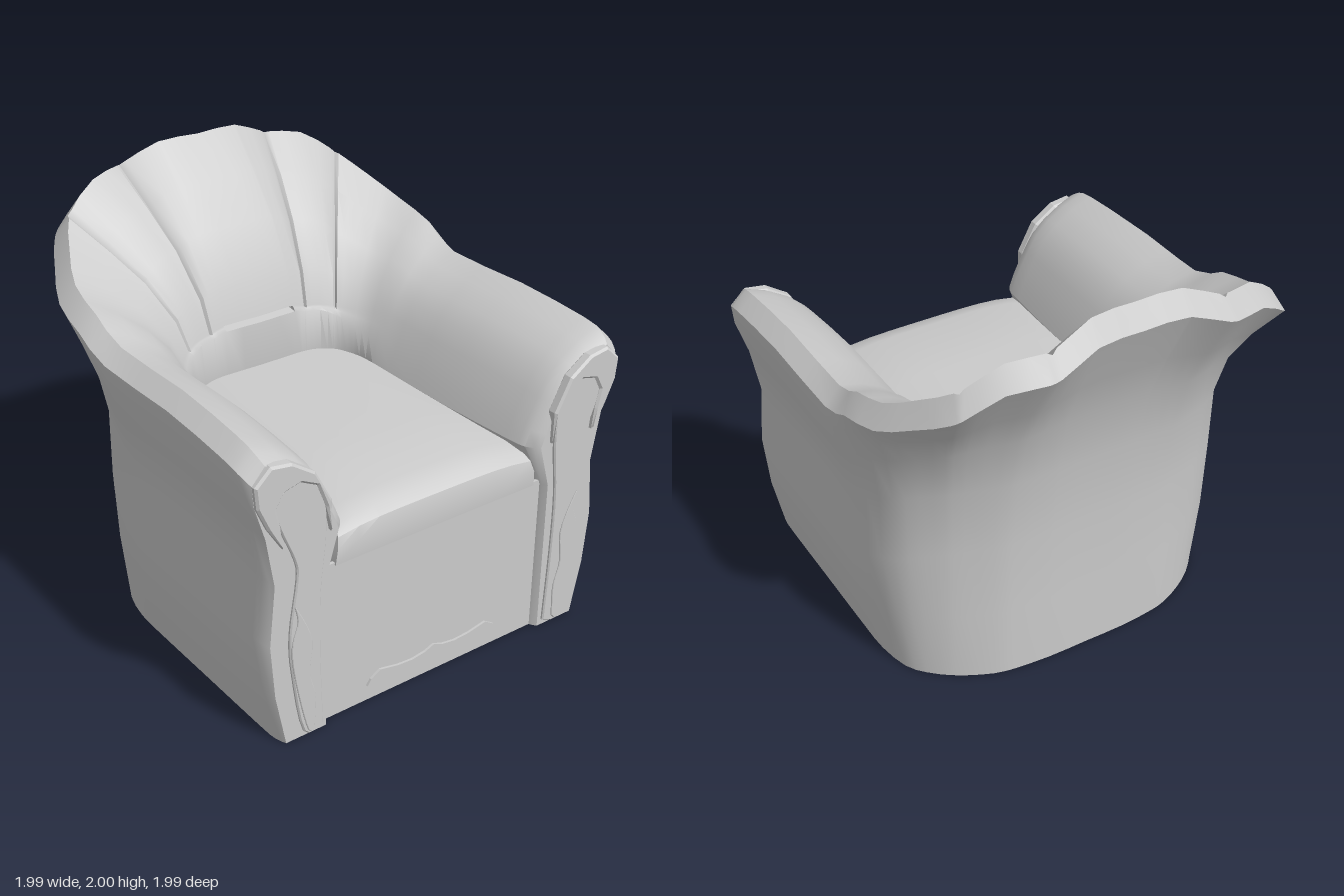
import * as THREE from 'three';
import { toCreasedNormals } from 'three/addons/utils/BufferGeometryUtils.js';

const grey = new THREE.MeshStandardMaterial({ color: 0xcccccc, side: THREE.DoubleSide });
const lerp = THREE.MathUtils.lerp;

// Stations from the front of the left arm to the middle of the back:
// base x, z | rim x, z | ridge height | seat edge x, z | 0 arm .. 1 back
const half = [
  [0.815, 0.965, 0.965, 0.965, 1.37, 0.55, 0.965, 0],
  [0.835, 0.91, 0.99, 0.91, 1.41, 0.505, 0.91, 0],
  [0.84, 0.80, 0.995, 0.80, 1.435, 0.49, 0.80, 0],
  [0.84, 0.40, 0.99, 0.40, 1.46, 0.47, 0.40, 0],
  [0.84, 0.00, 0.99, -0.10, 1.455, 0.47, 0.00, 0],
  [0.835, -0.18, 0.995, -0.30, 1.54, 0.47, -0.13, 0.25],
  [0.80, -0.34, 0.97, -0.52, 1.60, 0.46, -0.22, 0.6],
  [0.735, -0.43, 0.89, -0.70, 1.69, 0.43, -0.28, 0.8],
  [0.645, -0.505, 0.785, -0.87, 1.79, 0.39, -0.325, 0.92],
  [0.53, -0.57, 0.61, -0.94, 1.90, 0.33, -0.355, 1],
  [0.41, -0.61, 0.42, -0.995, 1.925, 0.26, -0.37, 1],
  [0.20, -0.63, 0.21, -0.97, 2.00, 0.19, -0.37, 1],
  [0.00, -0.63, 0.00, -0.96, 2.00, 0.00, -0.365, 1],
];
const mid = half.length - 1;
const mirrored = half.slice(0, mid).reverse().map((s) => s.map((v, k) => (k === 0 || k === 2 || k === 5 ? -v : v)));
const stations = [...half, ...mirrored];
const seams = [8, 10, 2 * mid - 10, 2 * mid - 8];

// Profiles for the arm and for the back; fractions, except backHeight
const outer = {
  armSide: [0, 0.35, 0.5, 0.33, 0.6, 0.95, 1], armUp: [0, 0.2, 0.4, 0.62, 0.8, 0.93, 1],
  backSide: [0, 0.02, 0.03, 0.14, 0.33, 0.61, 1], backHeight: [0, 0.37, 0.75, 1.12, 1.41, 1.63, 1.9],
};
const inner = {
  armIn: [0, 0.25, 0.48, 0.65, 0.77, 0.85, 0.93, 1], armDown: [0, 0.09, 0.22, 0.37, 0.55, 0.69, 0.84, 1],
  backIn: [0, 0.31, 0.61, 0.85, 0.94, 0.945, 0.965, 1], backDown: [0, 0.17, 0.35, 0.57, 0.735, 0.745, 0.76, 1],
};

// Smooth station values at any position along the U
function stationAt(t) {
  const last = stations.length - 1;
  const i = Math.min(Math.floor(t), last - 1), f = t - i;
  const at = (k) => stations[THREE.MathUtils.clamp(k, 0, last)];
  return stations[0].map((_, k) => {
    const [a, b, c, d] = [at(i - 1)[k], at(i)[k], at(i + 1)[k], at(i + 2)[k]];
    return b + 0.5 * f * (c - a + f * (2 * a - 5 * b + 4 * c - d + f * (3 * (b - c) + d - a)));
  });
}

// Closed cross-section: up the outside, over the rim, down to the seat, back under
function section(t) {
  const [bx, bz, rx, rz, ridge, sx, sz, blend] = stationAt(t);
  const w = THREE.MathUtils.clamp(blend, 0, 1);
  const groove = seams.includes(t) ? 1 : 0;
  const slit = Math.abs(t - mid) <= 1 ? 1 : 0;
  const rim = ridge - lerp(0.07, 0.1, w);
  const pts = outer.armSide.map((a, k) => {
    const s = lerp(a, outer.backSide[k], w), h = outer.backHeight[k];
    const backY = h * (1 - (1 - rim / 1.9) * (h / 1.9) ** 3);
    return [lerp(bx, rx, s), lerp(rim * outer.armUp[k], backY, w), lerp(bz, rz, s)];
  });
  const tuck = lerp(0.15, 0.11, w);
  inner.armIn.forEach((a, k) => {
    const u = lerp(a, inner.backIn[k], w);
    let s = tuck + (1 - tuck) * u;
    if (k < 5) s -= groove * 0.02;
    if (k === 5) s -= slit * 0.12;
    const y = lerp(ridge, 0.965, lerp(inner.armDown[k], inner.backDown[k], w)) - (k < 5 ? groove * 0.01 : 0);
    pts.push([lerp(rx, sx, s), y, lerp(rz, sz, s)]);
  });
  for (const y of [0.76, 0]) pts.push([lerp(sx, bx, 0.22), y, lerp(sz, bz, 0.22)]);
  return pts;
}

function shellGeometry() {
  const ts = [];
  for (let k = 0; k <= 4 * mid; k++) ts.push(k / 2);
  seams.forEach((s) => ts.push(s - 0.12, s + 0.12));
  ts.push(mid - 1.06, mid + 1.06);
  ts.sort((a, b) => a - b);
  const rings = ts.map(section), n = rings[0].length, index = [];
  for (let i = 0; i < rings.length - 1; i++) {
    for (let j = 0; j < n; j++) {
      const a = i * n + j, b = i * n + ((j + 1) % n);
      index.push(a, a + n, b, b, a + n, b + n);
    }
  }
  const g = new THREE.BufferGeometry();
  g.setAttribute('position', new THREE.Float32BufferAttribute(rings.flat(2), 3));
  g.setIndex(index);
  return toCreasedNormals(g, 0.6);
}

const shapeOf = (pts) => new THREE.Shape(pts.map(([x, y]) => new THREE.Vector2(x, y)));
const smoothShape = (pts, n = 40) => new THREE.Shape(
  new THREE.SplineCurve([...pts, pts[0]].map(([x, y]) => new THREE.Vector2(x, y))).getPoints(n));

function slab(shape, z, depth, bevel = 0) {
  const g = new THREE.ExtrudeGeometry(shape, {
    depth, bevelEnabled: bevel > 0, bevelSize: bevel, bevelThickness: bevel, bevelOffset: -bevel, bevelSegments: 1,
  });
  return g.translate(0, 0, z);
}

function add(parent, name, geometry) {
  const m = new THREE.Mesh(geometry, grey);
  m.name = name;
  parent.add(m);
}

// Seat cushion: side profile extruded across, narrower towards the top and gently domed
function cushionGeometry() {
  const profile = shapeOf([[-0.42, 0.77], [0.94, 0.77], [0.945, 0.86], [0.93, 0.92], [0.89, 0.955],
    [0.8, 0.98], [0.4, 0.995], [-0.42, 1.0]]);
  const g = new THREE.ExtrudeGeometry(profile, { depth: 1.09, steps: 10, bevelEnabled: false });
  g.translate(0, 0, -0.545).rotateY(-Math.PI / 2);
  const p = g.attributes.position;
  for (let i = 0; i < p.count; i++) {
    const rise = (p.getY(i) - 0.77) / 0.23, across = p.getX(i) / 0.545;
    p.setX(i, p.getX(i) * (1 - 0.08 * rise * rise));
    p.setY(i, p.getY(i) - 0.04 * rise * across ** 4);
  }
  return toCreasedNormals(g, 0.6);
}

function armFront(name) {
  const arm = new THREE.Group();
  arm.name = name;
  add(arm, 'armFace', new THREE.ShapeGeometry(shapeOf(section(0))).translate(0, 0, 0.965));
  // Padded band folded over the top of the face
  const band = [[0.835, 0.98], [0.905, 1.09], [0.955, 1.2], [0.965, 1.3], [0.89, 1.37], [0.79, 1.355], [0.68, 1.28],
    [0.6, 1.13], [0.6, 0.98], [0.625, 1.1], [0.67, 1.215], [0.75, 1.255], [0.83, 1.235], [0.865, 1.17], [0.845, 1.08]];
  add(arm, 'armRoll', slab(shapeOf(band), 0.945, 0.035, 0.01));
  // Raised wooden panel with a leaf-shaped inlay
  add(arm, 'armPanel', slab(smoothShape([[0.63, 0.03], [0.645, 0.4], [0.645, 0.7], [0.62, 0.95], [0.625, 1.12],
    [0.67, 1.22], [0.75, 1.26], [0.83, 1.24], [0.87, 1.17], [0.84, 1.06], [0.775, 0.9], [0.765, 0.8],
    [0.8, 0.55], [0.79, 0.35], [0.73, 0.03]], 60), 0.965, 0.008, 0.006));
  const leaf = [[0.68, 0.04], [0.675, 0.2], [0.705, 0.33], [0.695, 0.5], [0.775, 0.68], [0.765, 0.6], [0.795, 0.48], [0.775, 0.3], [0.715, 0.04]];
  add(arm, 'armInlay', slab(smoothShape(leaf), 0.978, 0.004, 0.003));
  return arm;
}

export function createModel() {
  const chair = new THREE.Group();
  chair.name = 'armchair';
  add(chair, 'upholsteredShell', shellGeometry());
  add(chair, 'seatCushion', cushionGeometry());
  add(chair, 'frontBoard', new THREE.BoxGeometry(1.2, 0.78, 0.015).translate(0, 0.39, 0.925));

  // Low carved ornament on the front board
  const crest = [[0.37, 0.08], [0.35, 0.11], [0.3, 0.14], [0.2, 0.12], [0.12, 0.115], [0.05, 0.125]];
  const ornament = [...crest, [0, 0.145], ...crest.map(([x, y]) => [-x, y]).reverse()];
  add(chair, 'carvedTrim', slab(shapeOf(ornament), 0.93, 0.014));

  const right = armFront('rightArmFront');
  right.scale.x = -1;
  chair.add(armFront('leftArmFront'), right);
  return chair;
}
